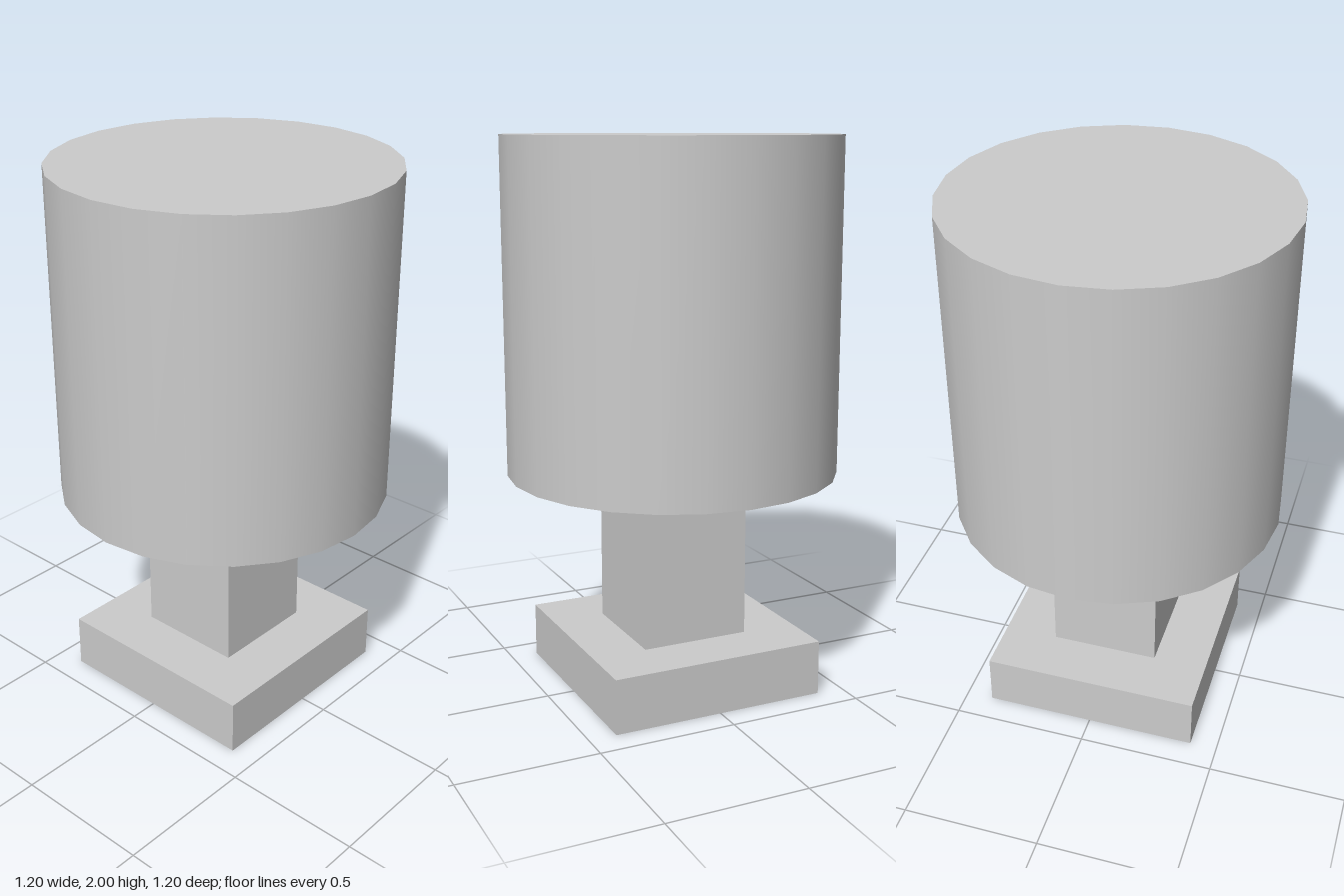
import * as THREE from 'three';

export function createModel() {
  const model = new THREE.Group();
  const material = new THREE.MeshStandardMaterial({ color: 0xcccccc });

  // Places a part so that its underside sits at the given height
  const addPart = (name, geometry, height, bottom) => {
    const mesh = new THREE.Mesh(geometry, material);
    mesh.name = name;
    mesh.position.y = bottom + height / 2;
    model.add(mesh);
  };

  // Square foot plate
  addPart('base', new THREE.BoxGeometry(0.8, 0.2, 0.8), 0.2, 0);
  // Square post
  addPart('stem', new THREE.BoxGeometry(0.4, 0.6, 0.4), 0.6, 0.2);
  // Smooth 24-sided drum with flat caps
  addPart('drum', new THREE.CylinderGeometry(0.6, 0.6, 1.2, 24), 1.2, 0.8);

  return model;
}
